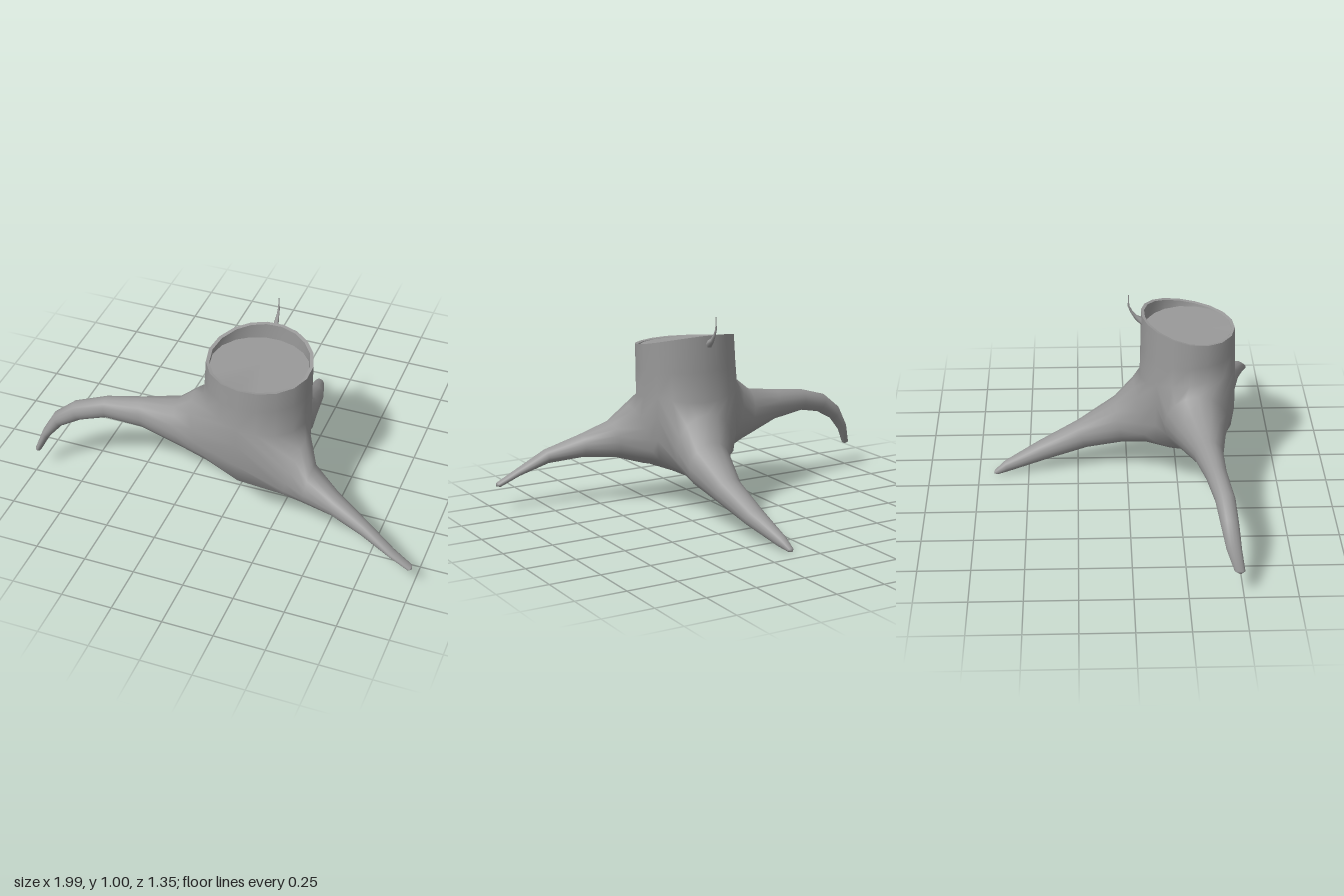
import * as THREE from 'three';
import { mergeVertices, toCreasedNormals } from 'three/addons/utils/BufferGeometryUtils.js';

const CX = 0.11, CZ = 0.295, ARC = 6; // trunk axis and trunk segments above each root
const V = (x, y, z) => new THREE.Vector3(x, y, z);
const rad = (deg) => deg * Math.PI / 180;

// Point around the slightly leaning trunk axis, k scales the oval outline
const around = (a, y, k) => V(
  CX + Math.max(0, y - 0.6) * 0.04 + Math.cos(a) * 0.26 * k, y, CZ + Math.sin(a) * 0.235 * k);

// Skin between closed rings of equal point count
function addSkin(out, rings) {
  for (let j = 0; j < rings.length - 1; j++) {
    const p = rings[j], q = rings[j + 1], n = p.length;
    for (let i = 0; i < n; i++) {
      const k = (i + 1) % n;
      out.push(p[i], p[k], q[k], p[i], q[k], q[i]);
    }
  }
}

// Fan from a ring to a point
function addFan(out, ring, tip) {
  ring.forEach((p, i) => out.push(p, ring[(i + 1) % ring.length], tip));
}

function geometryFrom(points) {
  return new THREE.BufferGeometry().setFromPoints(points);
}

function smooth(points) {
  const g = mergeVertices(geometryFrom(points), 1e-4);
  g.computeVertexNormals();
  return g;
}

const centroid = (ring) => ring.reduce((s, p) => s.add(p), V(0, 0, 0)).divideScalar(ring.length);

// Roots: the trunk sector they grow from, and stations of
// [top along, top y, bottom along, bottom y, sideways centre, half width]
const ROOTS = [
  { from: 95, to: 223, axis: 'x', side: -1, lift: 0.04, stations: [
    [-0.2, 0.602, -0.07, 0.23, 0.33, 0.155],
    [-0.28, 0.54, -0.22, 0.285, 0.345, 0.117],
    [-0.46, 0.51, -0.44, 0.355, 0.367, 0.069],
    [-0.64, 0.485, -0.63, 0.375, 0.39, 0.05],
    [-0.8, 0.435, -0.76, 0.345, 0.42, 0.047],
    [-0.9, 0.355, -0.86, 0.29, 0.435, 0.042],
    [-0.96, 0.25, -0.93, 0.21, 0.452, 0.035],
    [-0.997, 0.145, -0.972, 0.13, 0.478, 0.024]] },
  { from: 223, to: 331, axis: 'z', side: 1, lift: -0.03, stations: [
    [0.03, 0.52, 0.1, 0.18, 0.143, 0.155],
    [-0.06, 0.4, -0.02, 0.162, 0.172, 0.115],
    [-0.25, 0.265, -0.2, 0.125, 0.175, 0.07],
    [-0.45, 0.16, -0.4, 0.07, 0.153, 0.052],
    [-0.62, 0.07, -0.6, 0.015, 0.12, 0.027],
    [-0.673, 0.024, -0.655, 0.004, 0.107, 0.016]] },
  { from: 331, to: 455, axis: 'x', side: 1, lift: -0.03, stations: [
    [0.385, 0.52, 0.3, 0.21, 0.4, 0.155],
    [0.45, 0.43, 0.42, 0.24, 0.48, 0.092],
    [0.58, 0.365, 0.58, 0.25, 0.54, 0.06],
    [0.75, 0.295, 0.74, 0.225, 0.603, 0.039],
    [0.9, 0.2, 0.88, 0.17, 0.64, 0.028],
    [0.993, 0.146, 0.978, 0.124, 0.653, 0.021]] },
];

// Shared crease between neighbouring roots, running under the trunk: [outline scale, y]
const VALLEY = [[1.01, 0.5], [1.01, 0.38], [0.95, 0.28], [0.52, 0.2]];

// Where a root leaves the trunk: arc on top, down one valley, up the other
function rootBase({ from, to, lift }) {
  const ring = [];
  for (let i = 0; i <= ARC; i++) {
    const t = i / ARC;
    ring.push(around(rad(from + (to - from) * t), 0.6 + lift * Math.sin(Math.PI * t), 1));
  }
  VALLEY.forEach(([k, y]) => ring.push(around(rad(to), y, k)));
  ring.push(V(CX, 0.187, CZ));
  [...VALLEY].reverse().forEach(([k, y]) => ring.push(around(rad(from), y, k)));
  return ring;
}

// Oval cross-section of a root, sheared between its top and bottom points
function rootSection([pt, yt, pb, yb, lateral, w], { axis, side }, n) {
  const ring = [];
  for (let i = 0; i < n; i++) {
    const a = (i - ARC / 2) * 2 * Math.PI / n, c = Math.cos(a);
    const p = (pt + pb) / 2 + c * (pt - pb) / 2;
    const y = (yt + yb) / 2 + c * (yt - yb) / 2;
    const l = lateral + side * w * Math.sin(a);
    ring.push(axis === 'x' ? V(p, y, l) : V(l, y, p));
  }
  return ring;
}

// Ring around the trunk, matching the root arcs
function trunkRing(k, height) {
  const ring = [];
  for (const { from, to, lift } of ROOTS) {
    for (let i = 0; i < ARC; i++) {
      const a = rad(from + (to - from) * i / ARC);
      ring.push(around(a, height(a, lift * Math.sin(Math.PI * i / ARC)), k));
    }
  }
  return ring;
}

export function createModel() {
  const group = new THREE.Group();
  const material = new THREE.MeshStandardMaterial({ color: 0x999999, side: THREE.DoubleSide });
  const add = (name, geometry) => {
    const mesh = new THREE.Mesh(geometry, material);
    mesh.name = name;
    group.add(mesh);
  };

  // Trunk and roots in one continuous skin
  const rimHeight = (a) => 0.822 + 0.078 * ((1 - Math.sin(a)) / 2) ** 1.8;
  const rim = trunkRing(0.975, rimHeight);
  const bark = [];
  addSkin(bark, [rim, trunkRing(0.985, () => 0.72), trunkRing(1, (a, lift) => 0.6 + lift)]);
  for (const root of ROOTS) {
    const base = rootBase(root);
    const rings = [base, ...root.stations.map((s) => rootSection(s, root, base.length))];
    addSkin(bark, rings);
    // blunt rounded tip
    const end = centroid(rings.at(-1));
    const direction = end.clone().sub(centroid(rings.at(-2))).normalize();
    addFan(bark, rings.at(-1), end.addScaledVector(direction, 0.014));
  }
  add('trunkAndRoots', smooth(bark));

  // Raised rim and sunken cut face
  const cut = [];
  const inner = trunkRing(0.91, (a) => rimHeight(a) - 0.003);
  const floor = trunkRing(0.905, () => 0.817);
  addSkin(cut, [floor, inner, rim]);
  addFan(cut, [...floor].reverse(), centroid(floor));
  add('cutTop', toCreasedNormals(geometryFrom(cut), 0.5));

  // Thin twig at the back of the rim: [y, z, half width, half height, half depth]
  const twig = [];
  const twigRings = [[0.855, 0.074, 0.022, 0.02, 0.004], [0.88, 0.042, 0.012, 0.009, 0.006],
    [0.91, 0.02, 0.007, 0.003, 0.006], [0.94, 0.006, 0.005, 0, 0.005], [1.005, 0.006, 0.001, 0, 0.001]]
    .map(([y, z, w, h, d]) => Array.from({ length: 6 }, (_, i) => {
      const a = -i * Math.PI / 3;
      return V(0.108 + Math.cos(a) * w, y + Math.sin(a) * h, z + Math.sin(a) * d);
    }));
  addSkin(twig, twigRings);
  add('twig', smooth(twig));
  return group;
}
